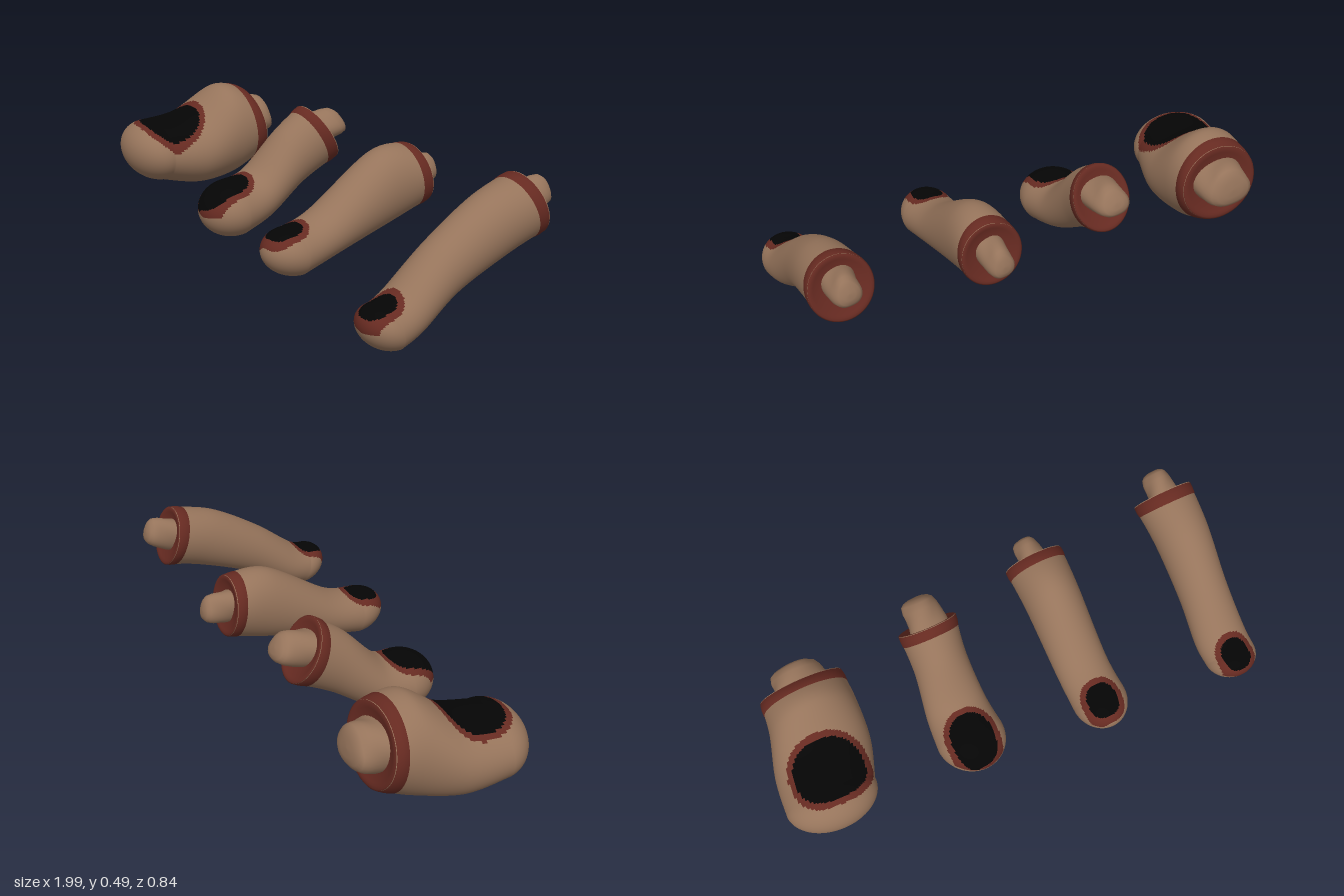
import * as THREE from 'three';

const skin = new THREE.MeshStandardMaterial({ color: 0x96745b });
skin.name = 'skin tan';
const flesh = new THREE.MeshStandardMaterial({ color: 0x662a21 });
flesh.name = 'raw red';
const nail = new THREE.MeshStandardMaterial({ color: 0x050505 });
nail.name = 'nail black';

// Smooth section at index t; past the last section it closes as a round dome at the tip
function sectionAt(sections, tip, t) {
  const last = sections.length - 1;
  if (t > last) {
    const a = (t - last) * Math.PI / 2, u = Math.sin(a), s = Math.cos(a);
    const [zt, yt, zb, yb, x0, x1] = sections[last];
    const close = (lo, hi, end) => {
      const mid = (lo + hi) / 2, c = mid + (end - mid) * u;
      return [c + (lo - mid) * s, c + (hi - mid) * s];
    };
    const x = close(x0, x1, tip[0]), y = close(yt, yb, tip[1]), z = close(zt, zb, tip[2]);
    return [z[0], y[0], z[1], y[1], x[0], x[1]];
  }
  const i = Math.min(Math.floor(t), last - 1), f = t - i;
  const at = (k) => sections[Math.max(0, Math.min(last, k))];
  return sections[0].map((_, k) => {
    const [a, b, c, d] = [at(i - 1)[k], at(i)[k], at(i + 1)[k], at(i + 2)[k]];
    return b + .5 * f * (c - a + f * (2 * a - 5 * b + 4 * c - d + f * (3 * (b - c) + d - a)));
  });
}

// Ring of points around a section, scaled about its centre
function ring([zt, yt, zb, yb, x0, x1], scale, sides) {
  return Array.from({ length: sides }, (_, j) => {
    const a = j / sides * Math.PI * 2, c = Math.cos(a) * scale / 2, s = Math.sin(a) * scale / 2;
    return [(x0 + x1) / 2 + c * (x1 - x0), (yt + yb) / 2 + s * (yt - yb), (zt + zb) / 2 + s * (zt - zb)];
  });
}

// Skin the rings; pick(x, z, up) chooses a material index for each quad
function loft(rings, name, materials, pick = () => 0) {
  const n = rings[0].length, faces = materials.map(() => []);
  for (let i = 0; i < rings.length - 1; i++) {
    for (let j = 0; j < n; j++) {
      const k = (j + 1) % n, a = i * n + j, b = i * n + k;
      const p = rings[i][j], q = rings[i + 1][k];
      const up = Math.sin((j + .5) / n * Math.PI * 2);
      faces[pick((p[0] + q[0]) / 2, (p[2] + q[2]) / 2, up)].push(a, b, b + n, a, b + n, a + n);
    }
  }
  const g = new THREE.BufferGeometry();
  g.setAttribute('position', new THREE.Float32BufferAttribute(rings.flat(2), 3));
  g.setIndex(faces.flat());
  let start = 0;
  faces.forEach((f, m) => { g.addGroup(start, f.length, m); start += f.length; });
  g.computeVertexNormals();
  const mesh = new THREE.Mesh(g, materials.length > 1 ? materials : materials[0]);
  mesh.name = name;
  return mesh;
}

// Rounded patch seen from above: centre x, centre z, radius x, radius z
const inside = ([cx, cz, rx, rz], margin, x, z) =>
  Math.abs((x - cx) / (rx + margin)) ** 2.5 + Math.abs((z - cz) / (rz + margin)) ** 2.5 < 1;

// sections run from the cut to the ball: zTop, yTop, zBottom, yBottom, xMin, xMax
// bone: end x, y, z, radius x, radius y
function makeToe(name, sections, tip, patch, bone) {
  const group = new THREE.Group();
  group.name = name;
  const steps = 150;

  // Body with the nail and its red bed as face groups
  const body = Array.from({ length: steps + 1 }, (_, i) =>
    ring(sectionAt(sections, tip, i / steps * sections.length), 1, 96));
  group.add(loft(body, 'toeBody', [skin, flesh, nail], (x, z, up) => {
    if (up > .3 && inside(patch, 0, x, z)) return 2;
    return up > .2 && inside(patch, .022, x, z) ? 1 : 0;
  }));

  // Rolled rim and dished cut face
  const [zt, yt, zb, yb, x0, x1] = sections[0];
  const [nzt, nyt, nzb, nyb] = sections[1];
  const rimStep = .06 / Math.hypot((nzt + nzb - zt - zb) / 2, (nyt + nyb - yt - yb) / 2);
  const rim = [[.5, 0], [.35, .6], [.08, .83], [0, .9], [0, .97], [.12, 1.015], [.6, 1.025], [1, 1.015], [1.1, .97]];
  group.add(loft(rim.map(([t, s]) => ring(sectionAt(sections, tip, t * rimStep), s, 48)), 'cutRim', [flesh]));

  // Knobbly bone stub, parallel to the cut face
  const [ex, ey, ez, rx, ry] = bone;
  const up = new THREE.Vector2(yt - yb, zt - zb).normalize();
  const base = [(x0 + x1) / 2, (yt + yb) / 2, (zt + zb) / 2 + .04];
  const profile = [[1, 0], [.99, .38], [.95, .65], [.87, .83], [.7, .92], [.5, .95], [.3, 1], [0, 1.05]];
  group.add(loft(profile.map(([d, s]) => {
    const [cx, cy, cz] = [ex, ey, ez].map((e, k) => base[k] + (e - base[k]) * d);
    return Array.from({ length: 32 }, (_, j) => {
      const a = j / 32 * Math.PI * 2, r = s * (1 + .07 * Math.sin(3 * a + 4 * d));
      const h = Math.sin(a) * r * ry;
      return [cx + Math.cos(a) * r * rx, cy + h * up.x, cz + h * up.y];
    });
  }), 'boneStub', [skin]));
  return group;
}

export function createModel() {
  const model = new THREE.Group();
  model.name = 'toes';
  model.add(makeToe('bigToe', [
    [-.21, .43, -.262, .13, -.918, -.582],
    [-.1, .456, -.12, .06, -.935, -.575],
    [.05, .36, .04, .042, -.985, -.587],
    [.2, .335, .2, .078, -1, -.635],
  ], [-.81, .22, .33], [-.785, .135, .135, .115], [-.75, .3, -.33, .11, .092]));
  model.add(makeToe('secondToe', [
    [-.165, .482, -.29, .25, -.33, -.092],
    [-.05, .4, -.13, .17, -.33, -.112],
    [.09, .26, .04, .06, -.355, -.105],
    [.2, .237, .18, .012, -.365, -.09],
  ], [-.22, .115, .33], [-.23, .228, .085, .1], [-.21, .405, -.335, .077, .07]));
  model.add(makeToe('thirdToe', [
    [-.29, .44, -.332, .2, .172, .413],
    [-.12, .44, -.17, .15, .18, .405],
    [.15, .272, .11, .085, .186, .4],
    [.28, .236, .27, .05, .19, .41],
  ], [.3, .15, .4], [.293, .307, .06, .066], [.29, .325, -.41, .056, .065]));
  model.add(makeToe('smallToe', [
    [-.285, .494, -.357, .257, .752, .993],
    [-.1, .445, -.2, .215, .765, .985],
    [.1, .33, .03, .128, .77, .97],
    [.27, .2, .2, .034, .767, .98],
    [.34, .172, .3, 0, .775, .985],
  ], [.88, .09, .42], [.878, .35, .056, .062], [.875, .415, -.415, .06, .067]));
  return model;
}
